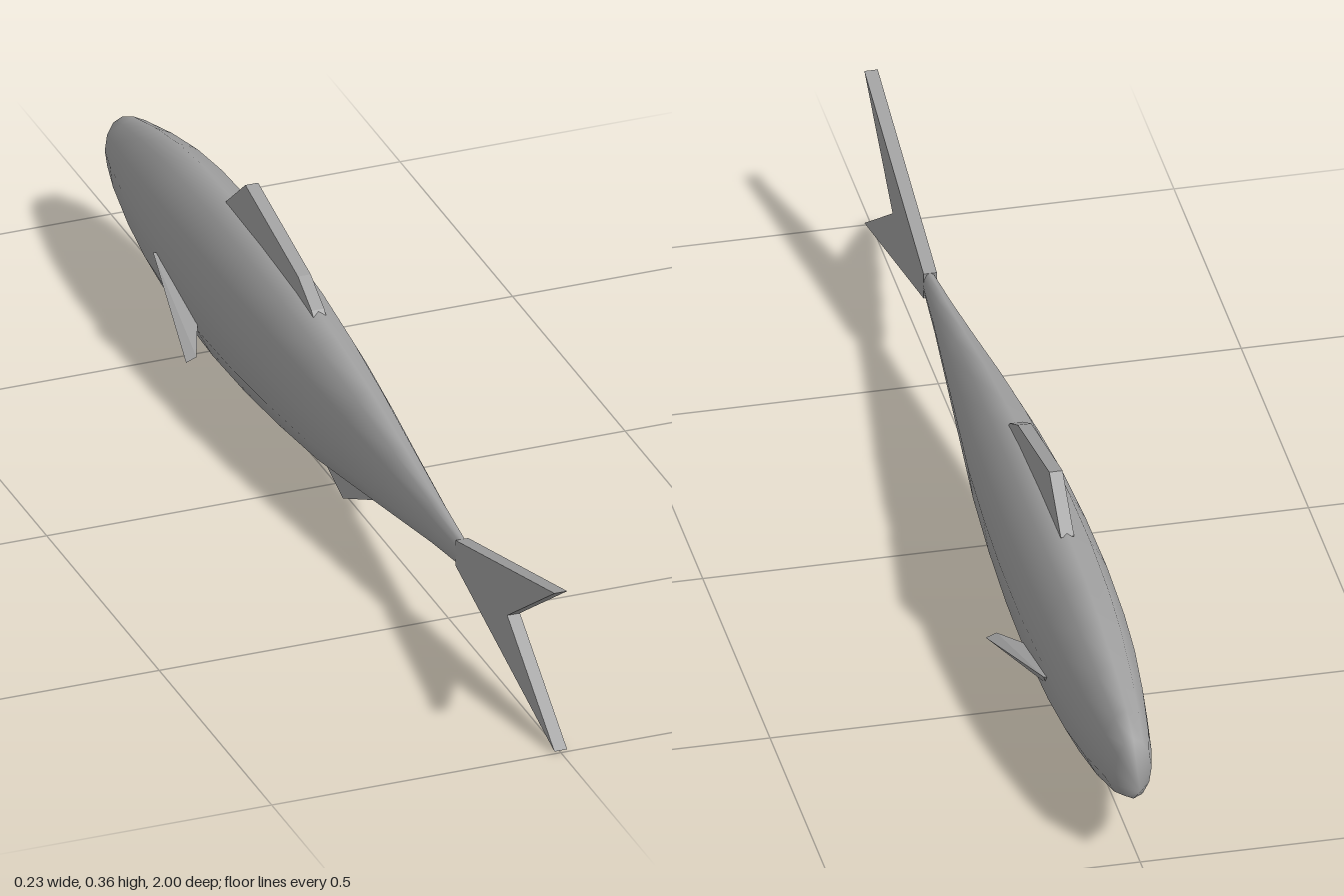
import * as THREE from 'three';
import { ConvexGeometry } from 'three/addons/geometries/ConvexGeometry.js';

const grey = new THREE.MeshStandardMaterial({ color: 0xa0a0a0 });
grey.name = 'grey';

// Body stations from nose to tail root: [z, half width, bottom y, top y]
const STATIONS = [
  [-0.95, 0.03, 0.093, 0.205], [-0.9, 0.041, 0.068, 0.23], [-0.8, 0.056, 0.038, 0.258],
  [-0.7, 0.067, 0.018, 0.279], [-0.6, 0.073, 0.008, 0.291], [-0.45, 0.077, 0.003, 0.297],
  [-0.3, 0.076, 0.008, 0.294], [-0.15, 0.071, 0.02, 0.286], [0, 0.062, 0.036, 0.269],
  [0.15, 0.048, 0.061, 0.247], [0.3, 0.034, 0.087, 0.219], [0.45, 0.02, 0.113, 0.193],
  [0.57, 0.011, 0.13, 0.175],
];
const SIDES = 12;

// Loft of elliptical rings, closed by a point at each end
function bodyGeometry() {
  const pos = [], index = [];
  for (const [z, w, lo, hi] of STATIONS) {
    for (let j = 0; j < SIDES; j++) {
      const a = (j / SIDES) * Math.PI * 2;
      pos.push(w * Math.cos(a), (lo + hi) / 2 + ((hi - lo) / 2) * Math.sin(a), z);
    }
  }
  const last = (STATIONS.length - 1) * SIDES;
  const nose = last + SIDES, tail = nose + 1;
  pos.push(0, 0.135, -1, 0, 0.152, 0.58);
  for (let j = 0; j < SIDES; j++) {
    const k = (j + 1) % SIDES;
    for (let i = 0; i < last; i += SIDES) {
      index.push(i + j, i + k, i + SIDES + j, i + k, i + SIDES + k, i + SIDES + j);
    }
    index.push(nose, k, j, tail, last + j, last + k);
  }
  const g = new THREE.BufferGeometry();
  g.setAttribute('position', new THREE.Float32BufferAttribute(pos, 3));
  g.setIndex(index);
  g.computeVertexNormals();
  return g;
}

// Flat upright fin from a [z, y] outline, centred on x = 0
function uprightFin(outline, thickness = 0.022) {
  const shape = new THREE.Shape(outline.map(([z, y]) => new THREE.Vector2(-z, y)));
  const g = new THREE.ExtrudeGeometry(shape, { depth: thickness, bevelEnabled: false });
  g.translate(0, 0, -thickness / 2);
  g.rotateY(Math.PI / 2);
  return g;
}

// Slanted side fin; side is +1 for left, -1 for right
function sideFin(side) {
  const points = [
    [0.075, 0.134, -0.62], [0.05, 0.13, -0.62], [0.115, 0.063, -0.37],
    [0.097, 0.07, -0.37], [0.064, 0.102, -0.59], [0.06, 0.095, -0.46],
  ];
  return new ConvexGeometry(points.map(([x, y, z]) => new THREE.Vector3(side * x, y, z)));
}

export function createModel() {
  const model = new THREE.Group();
  model.name = 'fish';
  const add = (name, geometry) => {
    const mesh = new THREE.Mesh(geometry, grey);
    mesh.name = name;
    model.add(mesh);
  };

  add('body', bodyGeometry());
  add('dorsalFin', uprightFin([[-0.06, 0.26], [-0.08, 0.28], [-0.14, 0.313], [-0.374, 0.365], [-0.46, 0.293], [-0.44, 0.26]]));
  add('analFin', uprightFin([[0.2, 0.085], [0.19, 0.068], [0.06, 0.007], [-0.04, 0.04], [-0.04, 0.07]]));
  add('tailFin', uprightFin([[0.56, 0.176], [1, 0.295], [0.79, 0.152], [1, 0.007], [0.56, 0.13]]));
  add('leftSideFin', sideFin(1));
  add('rightSideFin', sideFin(-1));
  return model;
}
